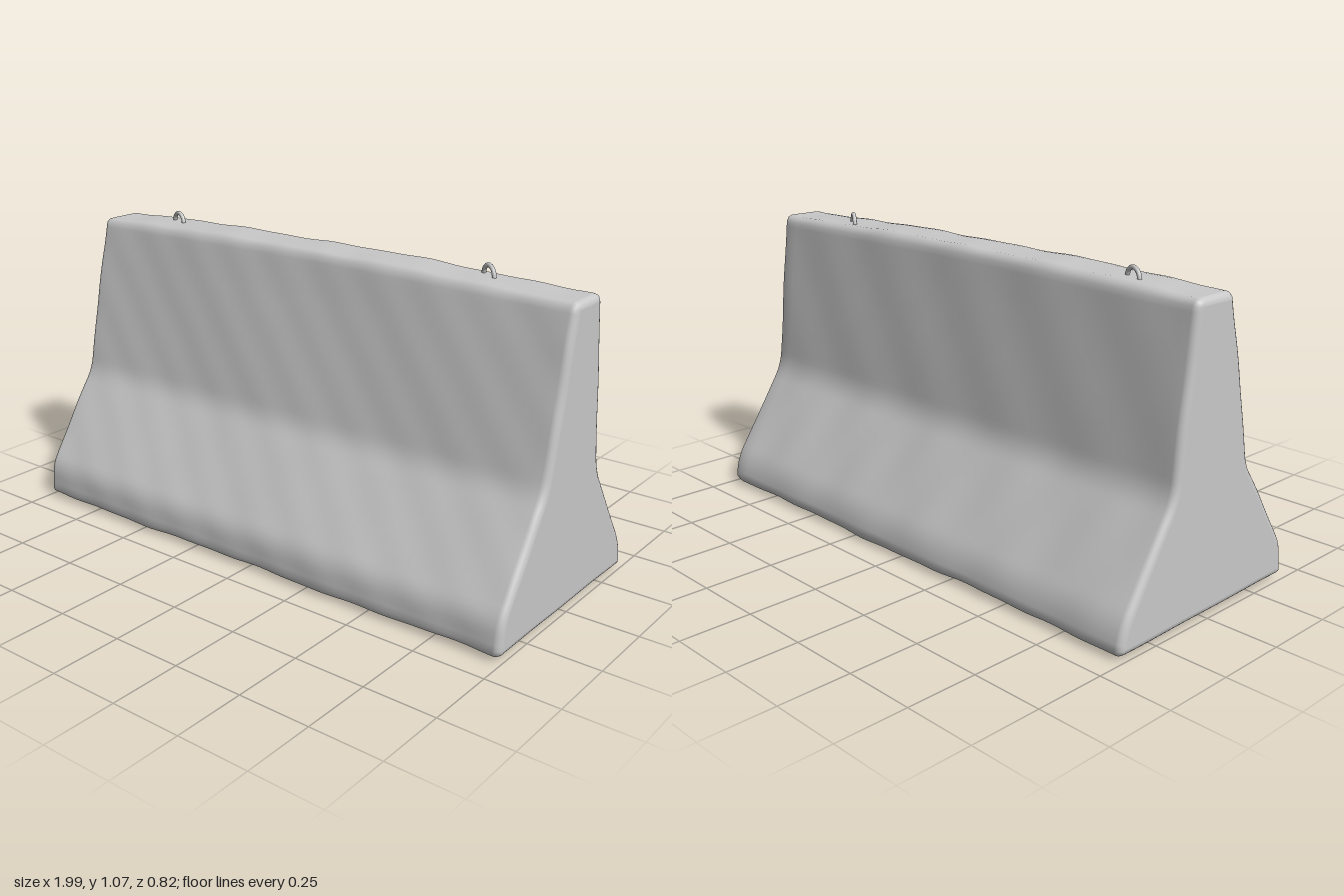
import * as THREE from 'three';

// Closed path with softened corners; each entry is [u, y, radius], u = -z
function roundedPath(corners) {
  const path = new THREE.Path();
  const n = corners.length;
  const toward = (a, b, r) => {
    const p = new THREE.Vector2(a[0], a[1]);
    return new THREE.Vector2(b[0], b[1]).sub(p).setLength(r).add(p);
  };
  corners.forEach((c, i) => {
    const p = toward(c, corners[(i + n - 1) % n], c[2]);
    const q = toward(c, corners[(i + 1) % n], c[2]);
    if (i === 0) path.moveTo(p.x, p.y);
    else path.lineTo(p.x, p.y);
    path.quadraticCurveTo(c[0], c[1], q.x, q.y);
  });
  path.closePath();
  return path;
}

// Gentle unevenness of the cast surface
const wobble = (x, s) =>
  0.0022 * Math.sin(7 * x + 5 * s) + 0.0016 * Math.sin(17 * x - 11 * s + 1) +
  0.001 * Math.sin(31 * x + 23 * s + 2);

function barrierGeometry() {
  const N = 160;
  const pts = roundedPath([
    [-0.412, 0.015, 0.025], [0.41, 0.015, 0.025], [0.395, 0.105, 0.05],
    [0.182, 0.44, 0.05], [0.162, 0.64, 0.06], [0.118, 1.036, 0.03],
    [-0.055, 1.036, 0.025], [-0.178, 0.46, 0.04], [-0.402, 0.13, 0.04],
  ]).getSpacedPoints(N).slice(0, N);
  const normals = pts.map((p, i) => {
    const t = pts[(i + 1) % N].clone().sub(pts[(i + N - 1) % N]).normalize();
    return new THREE.Vector2(t.y, -t.x);
  });

  // Stations along the length: rounded ends and an even middle
  const r = 0.024, half = 0.996, stations = [];
  for (let i = 0; i <= 5; i++) {
    const a = (1 - i / 5) * Math.PI / 2;
    stations.push([-half + r - r * Math.sin(a), r * (1 - Math.cos(a))]);
  }
  for (let i = 1; i < 60; i++) stations.push([(half - r) * (i / 30 - 1), 0]);
  for (let i = 0; i <= 5; i++) {
    const a = (i / 5) * Math.PI / 2;
    stations.push([half - r + r * Math.sin(a), r * (1 - Math.cos(a))]);
  }

  const pos = [], index = [], rings = [];
  stations.forEach(([x, inset], k) => {
    const ring = pts.map((p, i) => {
      const s = p.y + 0.6 * p.x;
      const d = wobble(x, s) - inset;
      let u = p.x + normals[i].x * d;
      let y = p.y + normals[i].y * d;
      // More worn rear edge at the left end
      if (u > 0.07 && x > 0.93) u -= 0.018 * ((x - 0.93) / 0.07) ** 2;
      // Crowned top and slightly sagging underside
      if (p.y > 0.9) y += 0.009 * Math.cos(2.6 * (x + 0.05)) * (p.y - 0.9) / 0.136;
      if (p.y < 0.03) y -= 0.01 * Math.exp(-8 * (x - 0.25) ** 2 - 10 * (p.x - 0.12) ** 2);
      return new THREE.Vector2(u, y);
    });
    rings.push(ring);
    ring.forEach((p) => pos.push(x, p.y, -p.x));
    if (k === 0) return;
    for (let i = 0; i < N; i++) {
      const j = (i + 1) % N, a = (k - 1) * N, b = k * N;
      index.push(a + i, a + j, b + i, a + j, b + j, b + i);
    }
  });

  // End faces
  for (const k of [0, stations.length - 1]) {
    const base = pos.length / 3;
    rings[k].forEach((p) => pos.push(stations[k][0], p.y, -p.x));
    for (const [a, b, c] of THREE.ShapeUtils.triangulateShape(rings[k], [])) {
      if (k === 0) index.push(base + a, base + c, base + b);
      else index.push(base + a, base + b, base + c);
    }
  }
  const geo = new THREE.BufferGeometry();
  geo.setAttribute('position', new THREE.Float32BufferAttribute(pos, 3));
  geo.setIndex(index);
  geo.computeVertexNormals();
  return geo;
}

// Bent bar lifting loop, its feet sunk into the top
function loopGeometry() {
  const curve = new THREE.CatmullRomCurve3([
    [-0.037, -0.05], [-0.036, 0.0], [-0.027, 0.024], [0, 0.036],
    [0.027, 0.024], [0.036, 0.0], [0.037, -0.05],
  ].map(([x, y]) => new THREE.Vector3(x, y, 0)));
  return new THREE.TubeGeometry(curve, 32, 0.0075, 10);
}

export function createModel() {
  const group = new THREE.Group();
  group.name = 'concreteBarrier';
  const concrete = new THREE.MeshStandardMaterial({ color: 0xc8c8c8 });
  concrete.name = 'concreteGrey';

  const body = new THREE.Mesh(barrierGeometry(), concrete);
  body.name = 'barrierBody';
  group.add(body);

  const loop = loopGeometry();
  for (const [name, x, z, turn] of [
    ['rightLiftingLoop', -0.7, -0.048, -0.33],
    ['leftLiftingLoop', 0.63, -0.056, -0.55],
  ]) {
    const mesh = new THREE.Mesh(loop, concrete);
    mesh.name = name;
    mesh.position.set(x, 1.03, z);
    mesh.rotation.y = turn;
    group.add(mesh);
  }
  return group;
}
